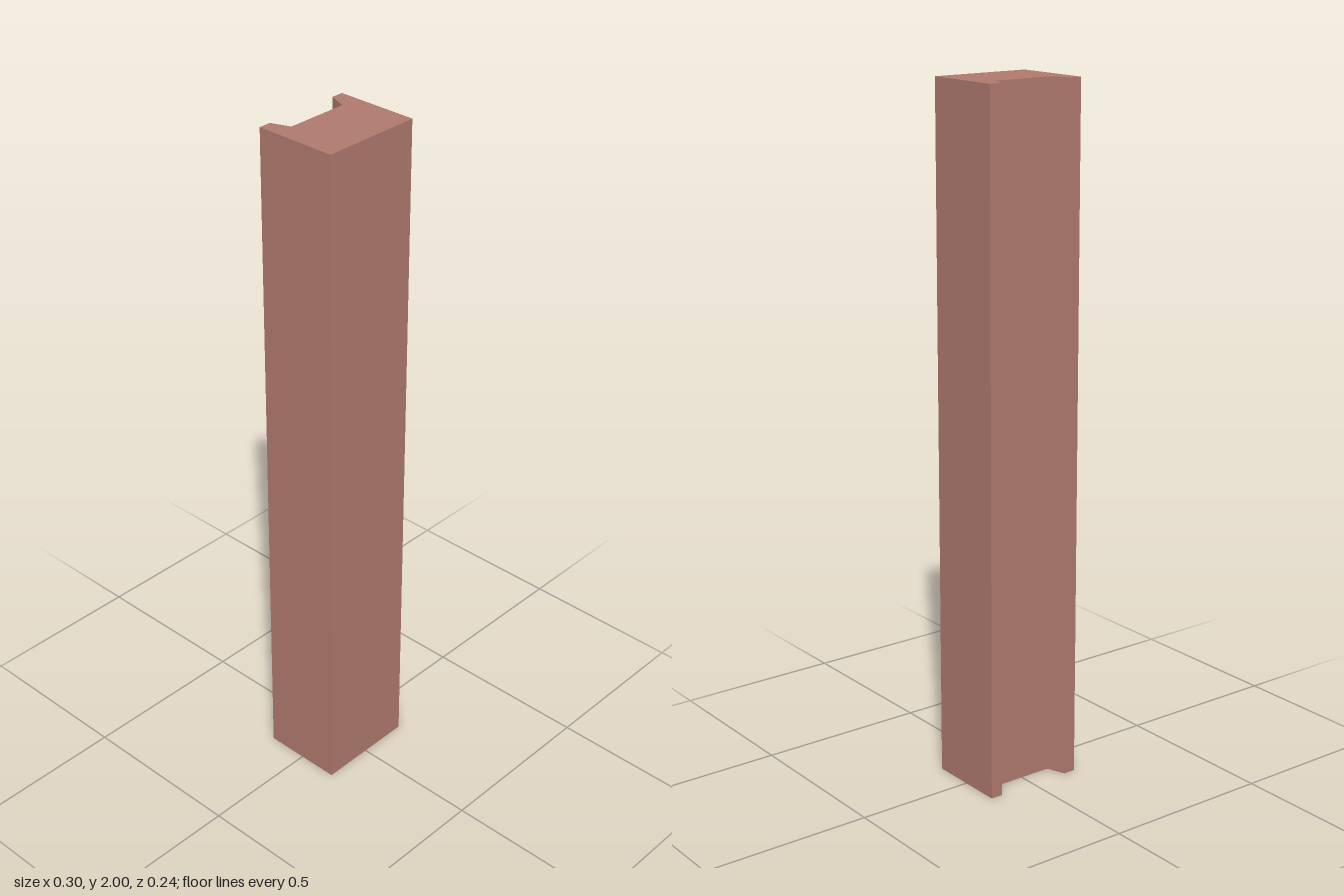
import * as THREE from 'three';

export function createModel() {
  const group = new THREE.Group();
  group.name = 'channelPost';

  // Right half of the cross-section, front to back; the other half is mirrored
  const half = [[0.15, -0.12], [0.15, 0.122], [0.114, 0.122], [0.093, 0.067]];
  const mirrored = half.map(([x, y]) => [-x, y]).reverse();
  const section = new THREE.Shape([...half, ...mirrored].map(([x, y]) => new THREE.Vector2(x, y)));

  // Post with a tapered groove along its back, extruded upright
  const geometry = new THREE.ExtrudeGeometry(section, { depth: 2, bevelEnabled: false });
  geometry.rotateX(-Math.PI / 2);

  const post = new THREE.Mesh(
    geometry,
    new THREE.MeshStandardMaterial({ color: 0xb07a6e })
  );
  post.name = 'groovedPost';
  group.add(post);
  return group;
}
